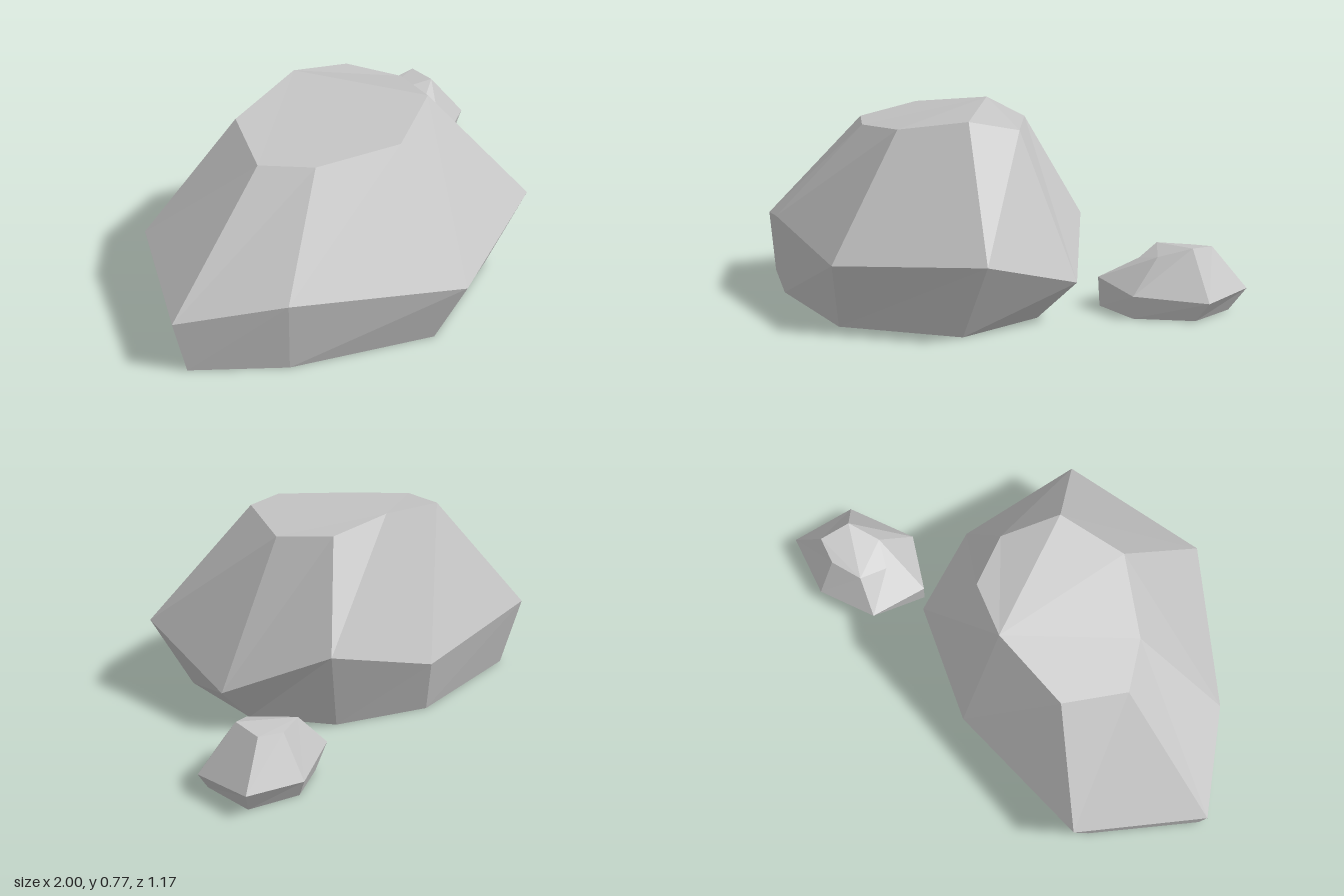
import * as THREE from 'three';

// Faceted rock from stacked rings (bottom to top), each a loop of [x, y, z] corners
// running counter-clockwise seen from above. The top is a fan from corner `peak`.
function rockGeometry(rings, peak) {
  const n = rings[0].length;
  const positions = [];
  const tri = (a, b, c) => positions.push(...a, ...b, ...c);
  for (let r = 0; r < rings.length - 1; r++) {
    const low = rings[r], high = rings[r + 1];
    for (let i = 0; i < n; i++) {
      const j = (i + 1) % n;
      tri(low[i], low[j], high[j]);
      tri(low[i], high[j], high[i]);
    }
  }
  const base = rings[0], top = rings[rings.length - 1];
  for (let k = 1; k < n - 1; k++) {
    tri(base[0], base[k + 1], base[k]);
    tri(top[peak], top[(peak + k) % n], top[(peak + k + 1) % n]);
  }
  const geometry = new THREE.BufferGeometry();
  geometry.setAttribute('position', new THREE.Float32BufferAttribute(positions, 3));
  geometry.computeVertexNormals();
  return geometry;
}

export function createModel() {
  const group = new THREE.Group();
  group.name = 'rocks';
  const stone = new THREE.MeshStandardMaterial({ color: 0xc4c4c4, flatShading: true });
  stone.name = 'light grey stone';

  const add = (name, rings, peak) => {
    const mesh = new THREE.Mesh(rockGeometry(rings, peak), stone);
    mesh.name = name;
    group.add(mesh);
  };

  // Large boulder: ground outline, widest ridge, flattened crown
  add('boulder', [
    [[-0.96, 0, -0.17], [-0.73, 0, 0.13], [-0.28, 0, 0.47], [0.2, 0, 0.39],
     [0.33, 0, 0.02], [0.2, 0, -0.29], [-0.12, 0, -0.49], [-0.68, 0, -0.5]],
    [[-1, 0.24, -0.19], [-0.75, 0.315, 0.15], [-0.24, 0.263, 0.585], [0.345, 0.297, 0.48],
     [0.495, 0.158, 0.025], [0.34, 0.338, -0.36], [-0.055, 0.22, -0.547], [-0.68, 0.282, -0.587]],
    [[-0.53, 0.69, -0.145], [-0.42, 0.69, 0.035], [-0.158, 0.72, 0.227], [0.11, 0.76, 0.165],
     [0.225, 0.707, -0.035], [0.15, 0.727, -0.238], [-0.06, 0.774, -0.333], [-0.39, 0.73, -0.355]],
  ], 6);

  // Small stone beside it, same construction with six sides
  add('smallStone', [
    [[0.473, 0, -0.25], [0.66, 0, -0.13], [0.885, 0, -0.205],
     [0.94, 0, -0.42], [0.75, 0, -0.503], [0.56, 0, -0.44]],
    [[0.465, 0.115, -0.25], [0.665, 0.09, -0.117], [0.94, 0.073, -0.203],
     [1, 0.085, -0.455], [0.77, 0.07, -0.537], [0.53, 0.11, -0.47]],
    [[0.61, 0.195, -0.31], [0.71, 0.22, -0.25], [0.835, 0.258, -0.293],
     [0.87, 0.246, -0.413], [0.77, 0.235, -0.45], [0.64, 0.236, -0.42]],
  ], 5);

  return group;
}
